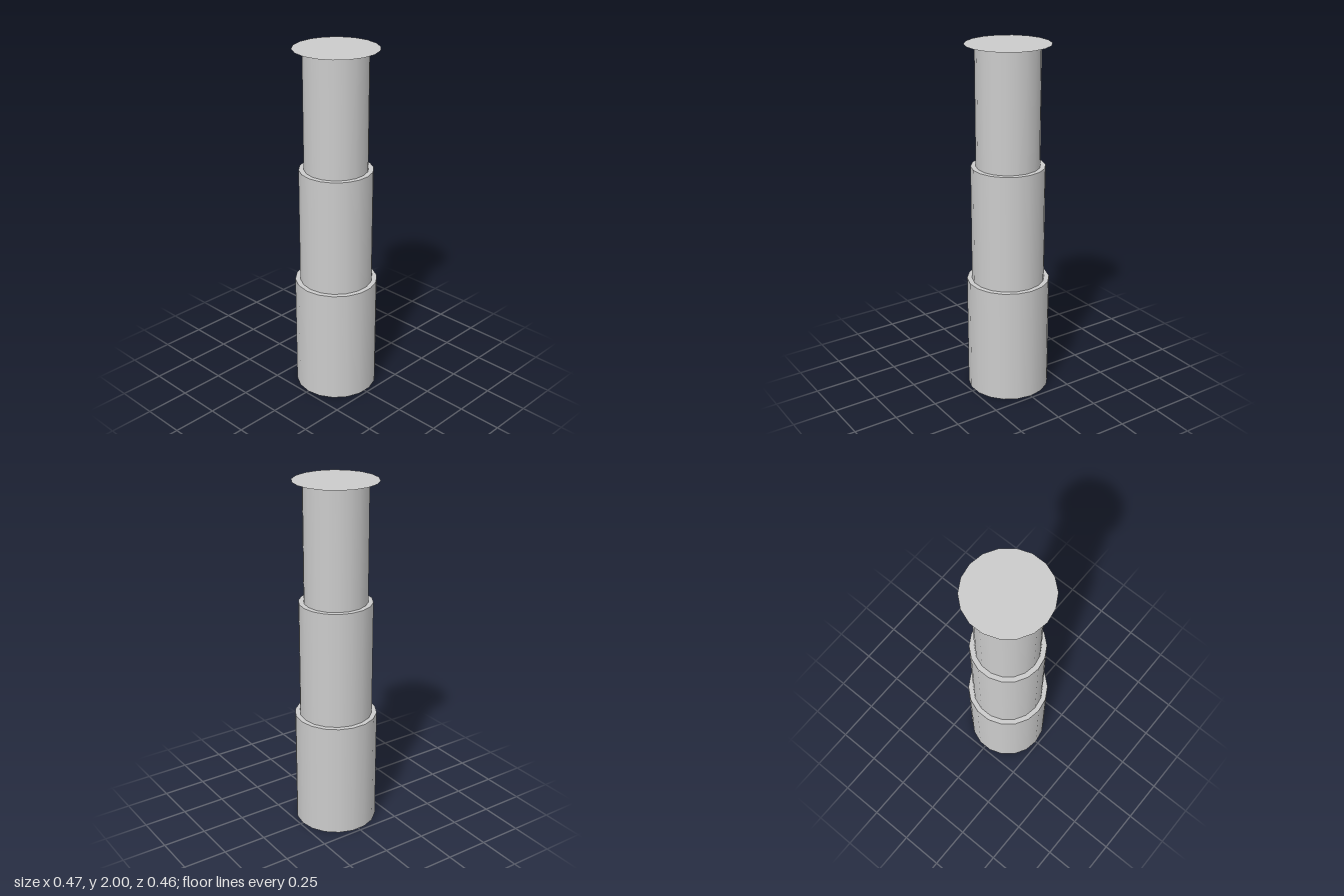
import * as THREE from 'three';

const SIDES = 18;
const START = Math.PI / 2; // puts a corner on the x axis

export function createModel() {
  const group = new THREE.Group();
  const material = new THREE.MeshStandardMaterial({ color: 0xcccccc });

  // Three stacked telescoping sections, each a third of the height
  const sections = [['lowerSection', 0.233], ['middleSection', 0.205], ['upperSection', 0.177]];
  const height = 2 / sections.length;
  sections.forEach(([name, radius], i) => {
    const mesh = new THREE.Mesh(
      new THREE.CylinderGeometry(radius, radius, height, SIDES, 1, false, START), material);
    mesh.name = name;
    mesh.position.y = (i + 0.5) * height;
    group.add(mesh);
  });

  // Paper-thin disc on top, as wide as the lowest section
  const disc = new THREE.Mesh(
    new THREE.CircleGeometry(0.233, SIDES).rotateX(-Math.PI / 2),
    new THREE.MeshStandardMaterial({ color: 0xcccccc, side: THREE.DoubleSide }));
  disc.name = 'topDisc';
  disc.position.y = 2;
  group.add(disc);

  return group;
}
